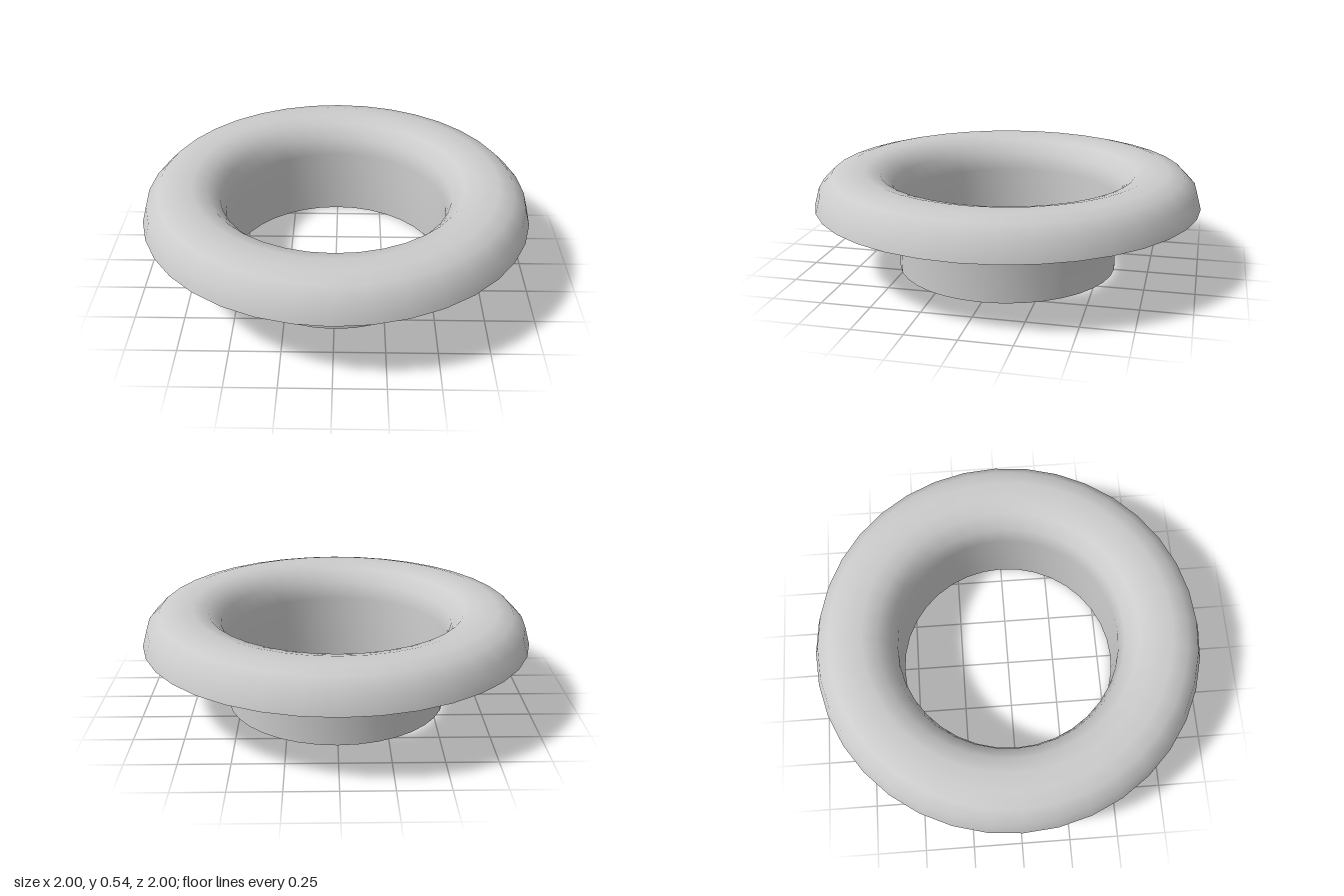
import * as THREE from 'three';

export function createModel() {
  const group = new THREE.Group();
  const material = new THREE.MeshStandardMaterial({ color: 0xcccccc, side: THREE.DoubleSide });

  // Thin shell profile: outer rim, over the rolled flange, down the sleeve
  const profile = [
    [1, 0.36], [0.975, 0.45], [0.912, 0.514], [0.835, 0.535],
    [0.74, 0.535], [0.663, 0.514], [0.6, 0.45], [0.575, 0.36], [0.575, 0],
  ].map(([r, y]) => new THREE.Vector2(r, y));

  // Flange and sleeve are one continuous smooth surface
  const eyelet = new THREE.Mesh(new THREE.LatheGeometry(profile, 36), material);
  eyelet.name = 'eyeletShell';
  group.add(eyelet);
  return group;
}
